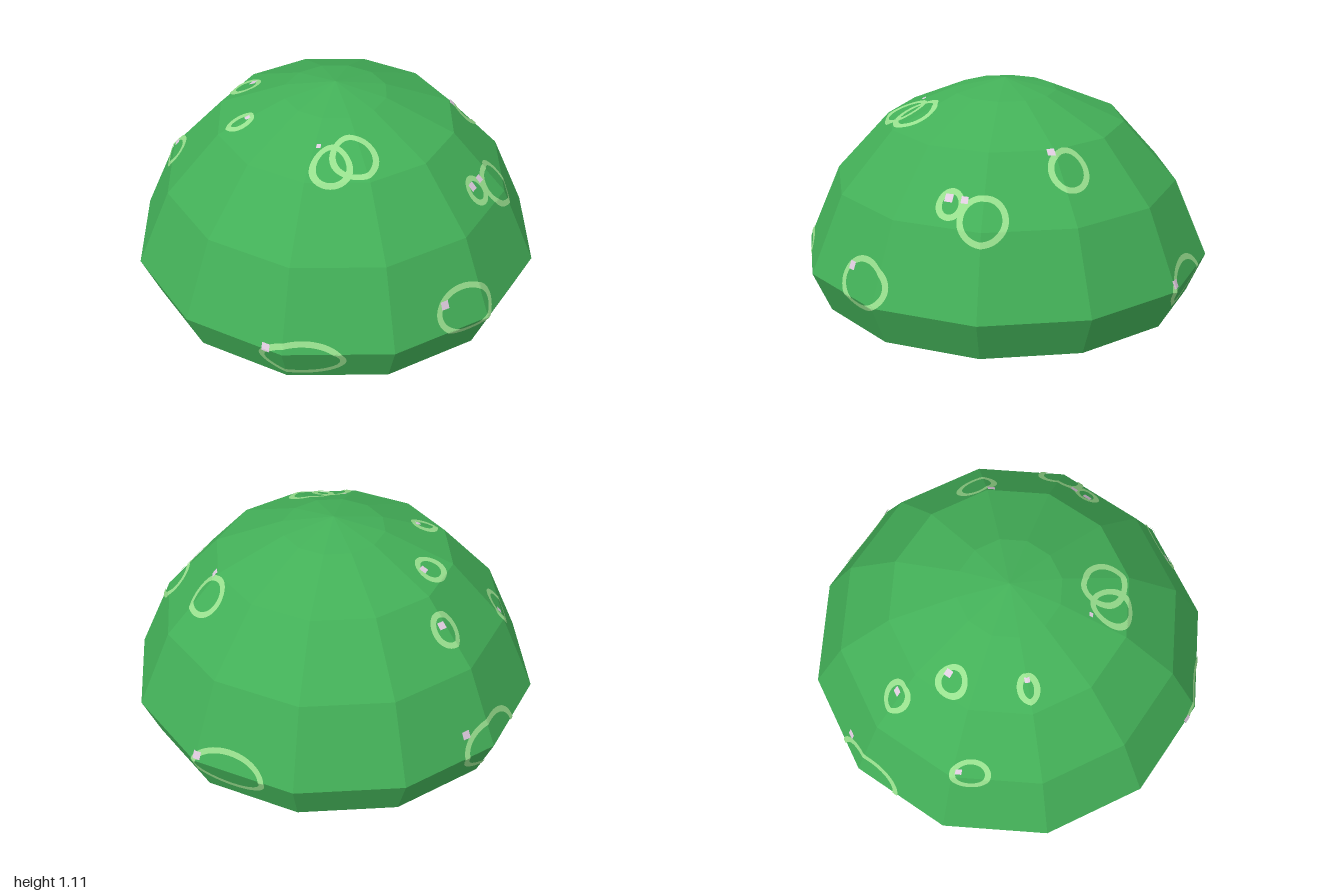
import * as THREE from 'three';

const SIDES = 12;
// dome profile from underside centre to top: [radius, height]
const PROFILE = [[0, 0], [0.91, 0.04], [1, 0.24], [0.84, 0.62], [0.58, 0.91], [0.25, 1.055], [0, 1.11]];

// running length along the profile, used to lay markings on the surface
const LENGTH = [0];
for (let i = 1; i < PROFILE.length; i++) {
  const [a, b] = [PROFILE[i - 1], PROFILE[i]];
  LENGTH.push(LENGTH[i - 1] + Math.hypot(b[0] - a[0], b[1] - a[1]));
}

function profileAt(t) {
  let i = 1;
  while (i < PROFILE.length - 1 && t > LENGTH[i]) i++;
  const f = (t - LENGTH[i - 1]) / (LENGTH[i] - LENGTH[i - 1]);
  return [0, 1].map((k) => THREE.MathUtils.lerp(PROFILE[i - 1][k], PROFILE[i][k], f));
}

function lengthAtHeight(y) {
  let i = 1;
  while (i < PROFILE.length - 1 && y > PROFILE[i][1]) i++;
  const f = (y - PROFILE[i - 1][1]) / (PROFILE[i][1] - PROFILE[i - 1][1]);
  return THREE.MathUtils.lerp(LENGTH[i - 1], LENGTH[i], f);
}

// point just outside the faceted dome
function surfacePoint(angle, t) {
  const [r, y] = profileAt(t);
  const step = (2 * Math.PI) / SIDES;
  const local = THREE.MathUtils.euclideanModulo(angle, step) - step / 2;
  const rad = (r * Math.cos(step / 2)) / Math.cos(local);
  const lift = 1.006;
  return [Math.sin(angle) * rad * lift, 0.3 + (y - 0.3) * lift, Math.cos(angle) * rad * lift];
}

// thin patch draped on the dome; map(p, q) returns an offset [u, v] from the centre
function drape(degrees, height, cols, rows, map) {
  const angle = THREE.MathUtils.degToRad(degrees);
  const t = lengthAtHeight(height);
  const r = profileAt(t)[0];
  const at = (i, j) => {
    const [u, v] = map(i / cols, j / rows);
    return surfacePoint(angle + u / r, t + v);
  };
  const pos = [];
  for (let i = 0; i < cols; i++) {
    for (let j = 0; j < rows; j++) {
      const [a, b, c, d] = [at(i, j), at(i + 1, j), at(i + 1, j + 1), at(i, j + 1)];
      pos.push(...a, ...b, ...c, ...a, ...c, ...d);
    }
  }
  const geo = new THREE.BufferGeometry();
  geo.setAttribute('position', new THREE.Float32BufferAttribute(pos, 3));
  geo.computeVertexNormals();
  return geo;
}

const ringGeometry = (deg, y, w, h, line = 0.03) => drape(deg, y, 4, 64, (p, q) => {
  const a = q * 2 * Math.PI;
  const inset = line * (1 - p);
  return [(w / 2 - inset) * Math.cos(a), (h / 2 - inset) * Math.sin(a)];
});

const glintGeometry = (deg, y, size) =>
  drape(deg, y, 4, 4, (p, q) => [(p - 0.5) * size, (q - 0.5) * size].map((n) => n * 1.0));

// bubble outlines: angle from the front, height, width, length up the surface
const RINGS = [
  [5, 0.19, 0.42, 0.25],
  [54, 0.32, 0.33, 0.25],
  [90, 0.66, 0.24, 0.25],
  [78, 0.705, 0.14, 0.16],
  [124, 0.825, 0.21, 0.23],
  [25, 0.965, 0.23, 0.25],
  [12, 0.945, 0.2, 0.24],
  [160, 0.23, 0.4, 0.25],
  [242, 0.24, 0.42, 0.3],
  [239, 0.78, 0.15, 0.19],
  [257, 0.94, 0.16, 0.17],
  [276, 0.64, 0.2, 0.18],
  [300, 0.958, 0.11, 0.15],
  [292, 0.145, 0.25, 0.15],
];

// pale glints: angle, height, size
const GLINTS = [
  [-4.7, 0.255, 0.04], [47.4, 0.37, 0.04], [77, 0.727, 0.04], [83, 0.727, 0.035],
  [118, 0.9, 0.035], [3, 0.99, 0.02], [150.5, 0.275, 0.04], [232, 0.35, 0.04],
  [238, 0.8, 0.035], [253, 0.95, 0.035], [272, 0.65, 0.03], [300, 0.975, 0.025],
];

export function createModel() {
  const green = new THREE.MeshStandardMaterial({ color: 0x43b058 });
  green.name = 'leaf green';
  const pale = new THREE.MeshStandardMaterial({ color: 0x98e08e });
  pale.name = 'pale green';
  const pink = new THREE.MeshStandardMaterial({ color: 0xe0cce0 });
  pink.name = 'pale pink';

  const model = new THREE.Group();
  model.name = 'spottedDome';

  // faceted body
  const points = PROFILE.map(([r, y]) => new THREE.Vector2(r, y));
  const bodyGeo = new THREE.LatheGeometry(points, SIDES).toNonIndexed();
  bodyGeo.computeVertexNormals();
  const body = new THREE.Mesh(bodyGeo, green);
  body.name = 'domeBody';
  model.add(body);

  // painted bubbles
  const addAll = (name, list, build, material) => {
    const group = new THREE.Group();
    group.name = name + 's';
    list.forEach((spec, i) => {
      const mesh = new THREE.Mesh(build(...spec), material);
      mesh.name = name + (i + 1);
      group.add(mesh);
    });
    model.add(group);
  };
  addAll('bubbleRing', RINGS, ringGeometry, pale);

  // glints sit a touch above the rings
  addAll('bubbleGlint', GLINTS, (...s) => {
    const geo = glintGeometry(...s);
    return geo.translate(0, -0.3, 0).scale(1.003, 1.003, 1.003).translate(0, 0.3, 0);
  }, pink);

  return model;
}
